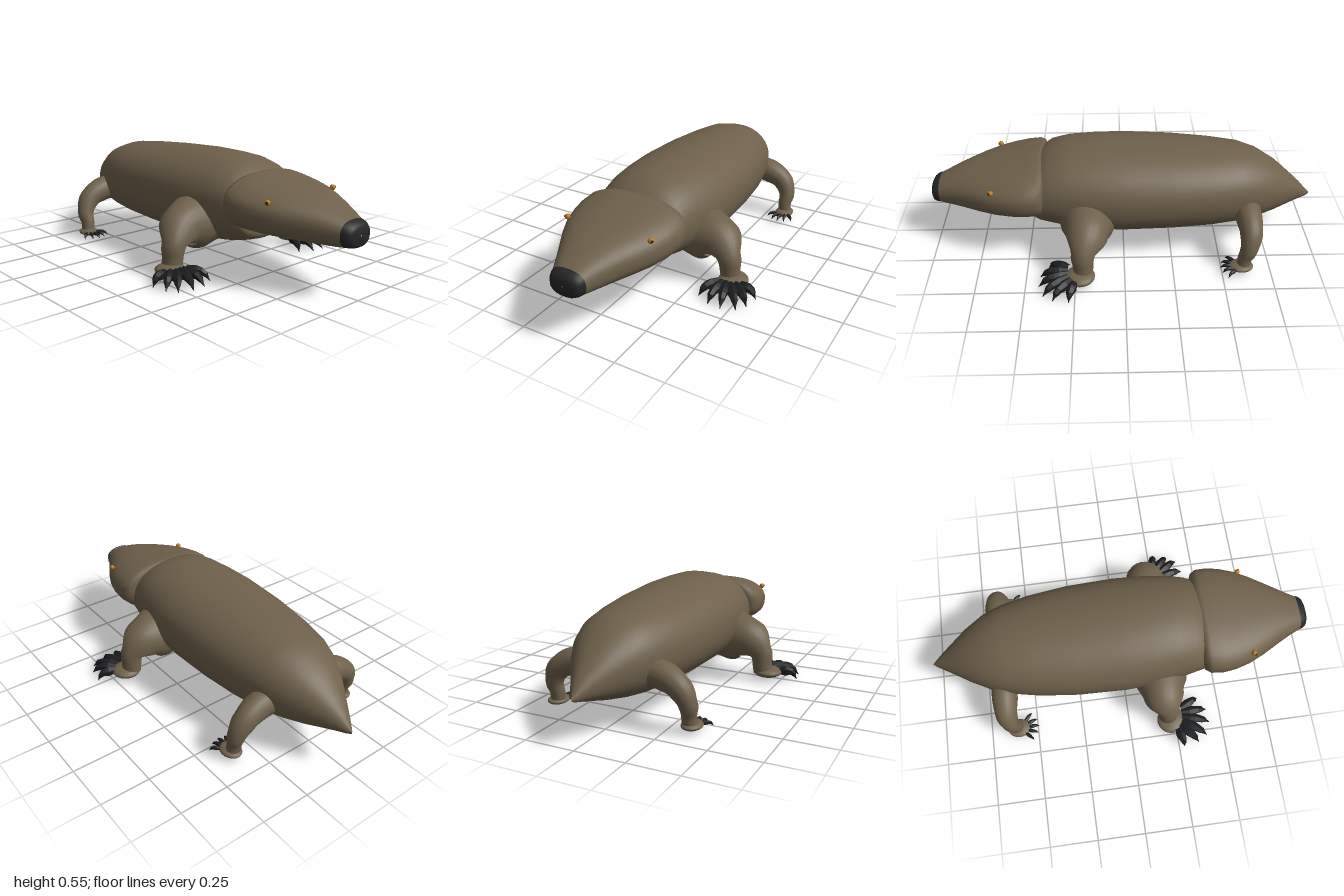
import * as THREE from 'three';

const mat = (name, color) => {
  const m = new THREE.MeshStandardMaterial({ color });
  m.name = name;
  return m;
};

// Closed skin through rounded cross-sections [z, halfWidth, bottom, top], back to front
function loft(sections, power, n = 44) {
  const pos = [], idx = [];
  const bend = (v) => Math.sign(v) * Math.abs(v) ** (2 / power);
  for (const [z, w, lo, hi] of sections) {
    for (let j = 0; j < n; j++) {
      const a = (j / n) * Math.PI * 2;
      pos.push(w * bend(Math.cos(a)), (lo + hi) / 2 + ((hi - lo) / 2) * bend(Math.sin(a)), z);
    }
  }
  for (let i = 0; i < sections.length - 1; i++) {
    for (let j = 0; j < n; j++) {
      const a = i * n + j, b = i * n + ((j + 1) % n);
      idx.push(a, b, a + n, b, b + n, a + n);
    }
  }
  const g = new THREE.BufferGeometry();
  g.setAttribute('position', new THREE.Float32BufferAttribute(pos, 3));
  g.setIndex(idx);
  g.computeVertexNormals();
  return g;
}

// Tube of varying thickness along nodes [x, y, z, radius], mirrored by side
function taperedTube(nodes, side, steps, sides) {
  const curve = new THREE.CatmullRomCurve3(nodes.map(([x, y, z]) => new THREE.Vector3(x * side, y, z)));
  const g = new THREE.TubeGeometry(curve, steps, 1, sides);
  const p = g.attributes.position, v = new THREE.Vector3();
  for (let k = 0; k < p.count; k++) {
    const u = Math.floor(k / (sides + 1)) / steps;
    const t = curve.getUtoTmapping(u) * (nodes.length - 1);
    const i = Math.min(Math.floor(t), nodes.length - 2);
    const r = THREE.MathUtils.lerp(nodes[i][3], nodes[i + 1][3], THREE.MathUtils.smoothstep(t - i, 0, 1));
    const c = curve.getPointAt(u);
    v.fromBufferAttribute(p, k).sub(c).multiplyScalar(r).add(c);
    p.setXYZ(k, v.x, v.y, v.z);
  }
  return g;
}

export function createModel() {
  const root = new THREE.Group();
  root.name = 'burrowingAnimal';
  const fur = mat('brown fur', 0x6e604b);
  const noseSkin = mat('dark nose', 0x262627);
  const horn = mat('black claw', 0x1c1d1f);
  const amber = mat('amber eye', 0xb0761a);
  const black = mat('black pupil', 0x0c0a08);

  const add = (parent, name, geometry, material) => {
    const m = new THREE.Mesh(geometry, material);
    m.name = name;
    parent.add(m);
    return m;
  };
  const ball = (parent, name, material, [x, y, z], [rx, ry, rz]) => {
    const m = add(parent, name, new THREE.SphereGeometry(1, 24, 16), material);
    m.position.set(x, y, z);
    m.scale.set(rx, ry, rz);
    return m;
  };

  // Long barrel body tapering to a pointed rump
  add(root, 'body', loft([
    [-1, 0.002, 0.225, 0.235], [-0.98, 0.018, 0.215, 0.255], [-0.94, 0.045, 0.205, 0.3],
    [-0.88, 0.085, 0.188, 0.355], [-0.8, 0.14, 0.165, 0.425], [-0.7, 0.197, 0.143, 0.485],
    [-0.6, 0.235, 0.128, 0.517], [-0.45, 0.268, 0.119, 0.533], [-0.25, 0.292, 0.114, 0.548],
    [0, 0.3, 0.108, 0.56], [0.15, 0.292, 0.11, 0.56], [0.28, 0.275, 0.125, 0.555],
    [0.37, 0.255, 0.145, 0.535], [0.43, 0.24, 0.165, 0.49], [0.455, 0.225, 0.178, 0.47],
    [0.46, 0.2, 0.195, 0.45], [0.461, 0.002, 0.32, 0.33],
  ], 2.15), fur);

  // Broad wedge head with a collar-like rear edge
  add(root, 'head', loft([
    [0.4, 0.002, 0.36, 0.37], [0.402, 0.235, 0.26, 0.48], [0.415, 0.265, 0.243, 0.497],
    [0.44, 0.283, 0.236, 0.501], [0.5, 0.288, 0.235, 0.491], [0.57, 0.278, 0.235, 0.479],
    [0.65, 0.253, 0.234, 0.465], [0.73, 0.214, 0.234, 0.447], [0.81, 0.168, 0.234, 0.425],
    [0.88, 0.129, 0.235, 0.4], [0.93, 0.104, 0.238, 0.378], [0.96, 0.09, 0.242, 0.364],
  ], 2.4), fur);

  // Blunt nose pad capping the snout
  add(root, 'nose', loft([
    [0.955, 0.093, 0.242, 0.368], [0.975, 0.086, 0.243, 0.361], [0.99, 0.074, 0.248, 0.35],
    [0.998, 0.056, 0.262, 0.335], [1, 0.002, 0.3, 0.305],
  ], 2.5), noseSkin);

  // Curved claw from its base on the foot to a lowered tip
  const claw = (parent, side, base, tip, radius, drop) => {
    const mix = (k) => base.map((b, i) => b + (tip[i] - b) * k);
    const [a, b] = [mix(0.35), mix(0.7)];
    a[1] = base[1];
    b[1] = base[1] - drop;
    const g = taperedTube([
      [...base, radius * 0.8], [...a, radius], [...b, radius * 0.72], [...tip, 0.001],
    ], side, 7, 6).toNonIndexed();
    g.computeVertexNormals();
    add(parent, 'claw', g, horn);
  };

  for (const side of [1, -1]) {
    const word = side > 0 ? 'left' : 'right';

    // Eye with a small pupil
    const eye = new THREE.Group();
    eye.name = word + 'Eye';
    root.add(eye);
    ball(eye, 'iris', amber, [side * 0.228, 0.421, 0.66], [0.014, 0.014, 0.014]);
    ball(eye, 'pupil', black, [side * 0.238, 0.423, 0.666], [0.005, 0.006, 0.006]);

    // Massive digging foreleg
    const fore = new THREE.Group();
    fore.name = word + 'Foreleg';
    root.add(fore);
    add(fore, 'foreLimb', taperedTube([
      [0.12, 0.25, 0.19, 0.12], [0.25, 0.243, 0.185, 0.138], [0.335, 0.225, 0.19, 0.107],
      [0.393, 0.15, 0.21, 0.059], [0.4, 0.09, 0.21, 0.052], [0.405, 0.045, 0.21, 0.05],
    ], side, 30, 24), fur);
    ball(fore, 'forefoot', fur, [side * 0.428, 0.046, 0.225], [0.075, 0.028, 0.075]);
    const foreTips = [[0.32, 0.39], [0.39, 0.43], [0.46, 0.435], [0.53, 0.41], [0.562, 0.36], [0.575, 0.28]];
    foreTips.forEach(([x, z], i) => {
      const base = [0.375 + i * 0.022, 0.049, 0.285 - Math.max(0, i - 3) * 0.014];
      claw(fore, side, base, [x, 0.006, z], 0.027, 0.004);
    });

    // Slim hind leg
    const hind = new THREE.Group();
    hind.name = word + 'HindLeg';
    root.add(hind);
    add(hind, 'hindLimb', taperedTube([
      [0.14, 0.27, -0.63, 0.07], [0.24, 0.26, -0.635, 0.067], [0.32, 0.215, -0.64, 0.057],
      [0.355, 0.14, -0.63, 0.044], [0.352, 0.085, -0.615, 0.036], [0.355, 0.04, -0.61, 0.036],
    ], side, 26, 20), fur);
    ball(hind, 'hindFoot', fur, [side * 0.36, 0.037, -0.598], [0.05, 0.019, 0.062]);
    for (let i = 0; i < 5; i++) {
      const s = i / 2 - 1;
      claw(hind, side, [0.36 + s * 0.034, 0.038, -0.552 - s * s * 0.012],
        [0.357 + s * 0.074, 0.02, -0.492 - s * s * 0.034], 0.011, 0.001);
    }
  }
  return root;
}
